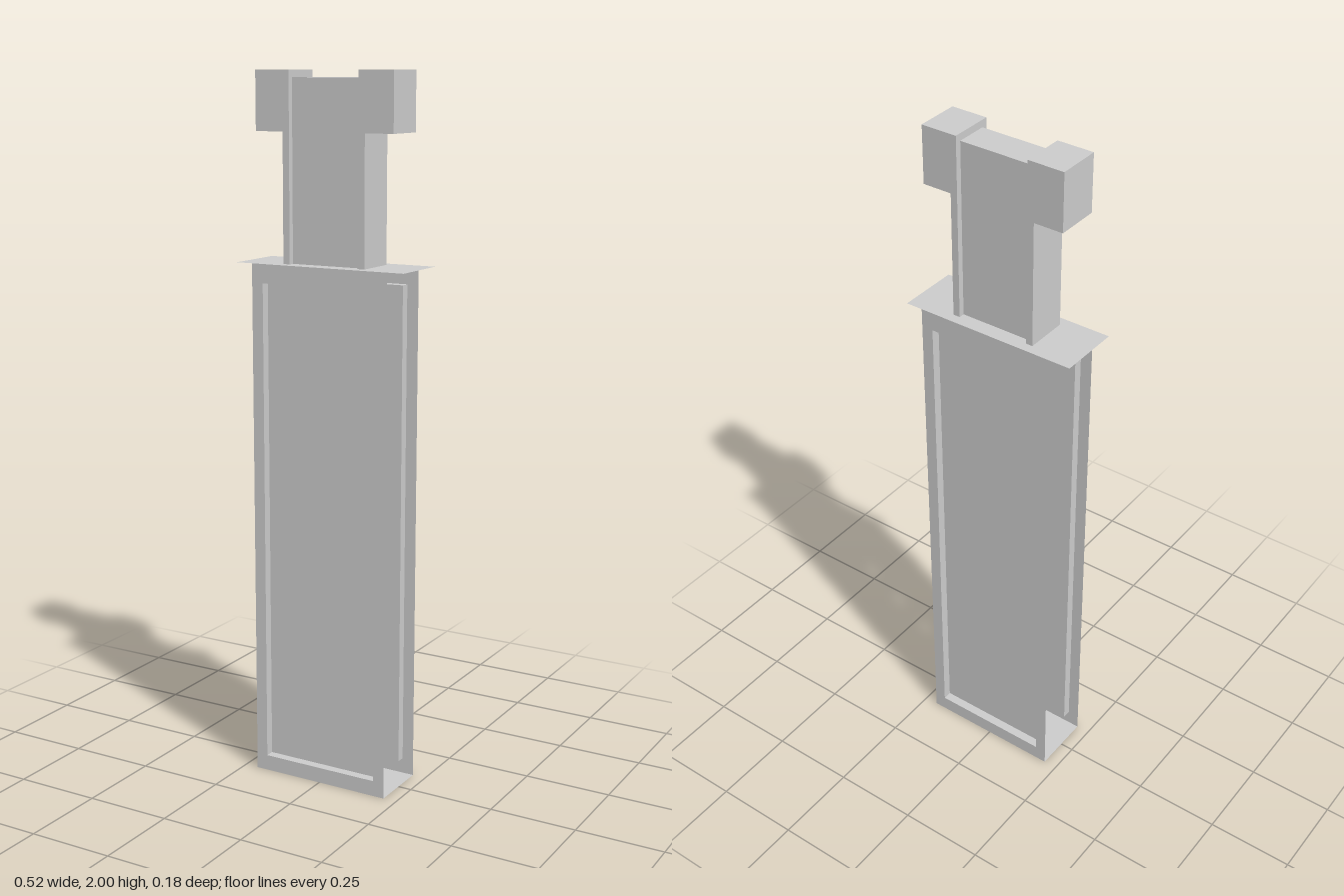
import * as THREE from 'three';

const BODY_W = 0.42, BODY_H = 1.483, DEPTH = 0.09; // body width, height, half depth
const REC_W = 0.352, REC_LOW = 0.045, REC_TOP = 1.43, REC_Z = 0.064; // recessed panel

export function createModel() {
  const model = new THREE.Group();
  const material = new THREE.MeshStandardMaterial({
    color: 0xcccccc, flatShading: true, side: THREE.DoubleSide,
  });

  const add = (parent, name, geometry, x = 0, y = 0, z = 0) => {
    const mesh = new THREE.Mesh(geometry, material);
    mesh.name = name;
    mesh.position.set(x, y, z);
    parent.add(mesh);
    return mesh;
  };
  const horizontal = (w, d) => new THREE.PlaneGeometry(w, d).rotateX(-Math.PI / 2);
  const rectangle = (Type, w, low, top) => new Type([
    new THREE.Vector2(-w / 2, low), new THREE.Vector2(w / 2, low),
    new THREE.Vector2(w / 2, top), new THREE.Vector2(-w / 2, top),
  ]);

  // Thin face with a sunken panel; the body is open at its sides
  function bodyFace(name) {
    const face = new THREE.Group();
    face.name = name;
    const frame = rectangle(THREE.Shape, BODY_W, 0, BODY_H);
    frame.holes.push(rectangle(THREE.Path, REC_W, REC_LOW, REC_TOP));
    add(face, 'frame', new THREE.ShapeGeometry(frame), 0, 0, DEPTH);

    const h = REC_TOP - REC_LOW, midY = (REC_TOP + REC_LOW) / 2;
    const d = DEPTH - REC_Z, midZ = (DEPTH + REC_Z) / 2;
    add(face, 'sunkenPanel', new THREE.PlaneGeometry(REC_W, h), 0, midY, REC_Z);
    for (const s of [-1, 1]) {
      const wall = new THREE.PlaneGeometry(d, h).rotateY(-s * Math.PI / 2);
      add(face, 'recessSide', wall, s * REC_W / 2, midY, midZ);
    }
    add(face, 'recessSill', horizontal(REC_W, d), 0, REC_LOW, midZ);
    add(face, 'recessLintel', horizontal(REC_W, d).rotateX(Math.PI), 0, REC_TOP, midZ);
    model.add(face);
    return face;
  }
  bodyFace('frontFace');
  bodyFace('backFace').rotation.y = Math.PI;

  // Flat end plates
  add(model, 'bottomPlate', horizontal(BODY_W, 2 * DEPTH).rotateX(Math.PI));
  add(model, 'topPlate', horizontal(0.518, 2 * DEPTH), 0, BODY_H, 0);

  // Neck slab
  add(model, 'neck', new THREE.BoxGeometry(0.212, 1.98 - BODY_H, 0.09),
    0, (1.98 + BODY_H) / 2, 0);

  // Side rails, each with an overhanging block at the top
  for (const s of [-1, 1]) {
    const profile = new THREE.Shape([
      [0.106, BODY_H], [0.126, BODY_H], [0.126, 1.838],
      [0.211, 1.838], [0.211, 2], [0.106, 2],
    ].map(([x, y]) => new THREE.Vector2(s * x, y)));
    const rail = new THREE.ExtrudeGeometry(profile, { depth: 0.124, bevelEnabled: false });
    add(model, s > 0 ? 'leftRail' : 'rightRail', rail, 0, 0, -0.062);
  }
  return model;
}
